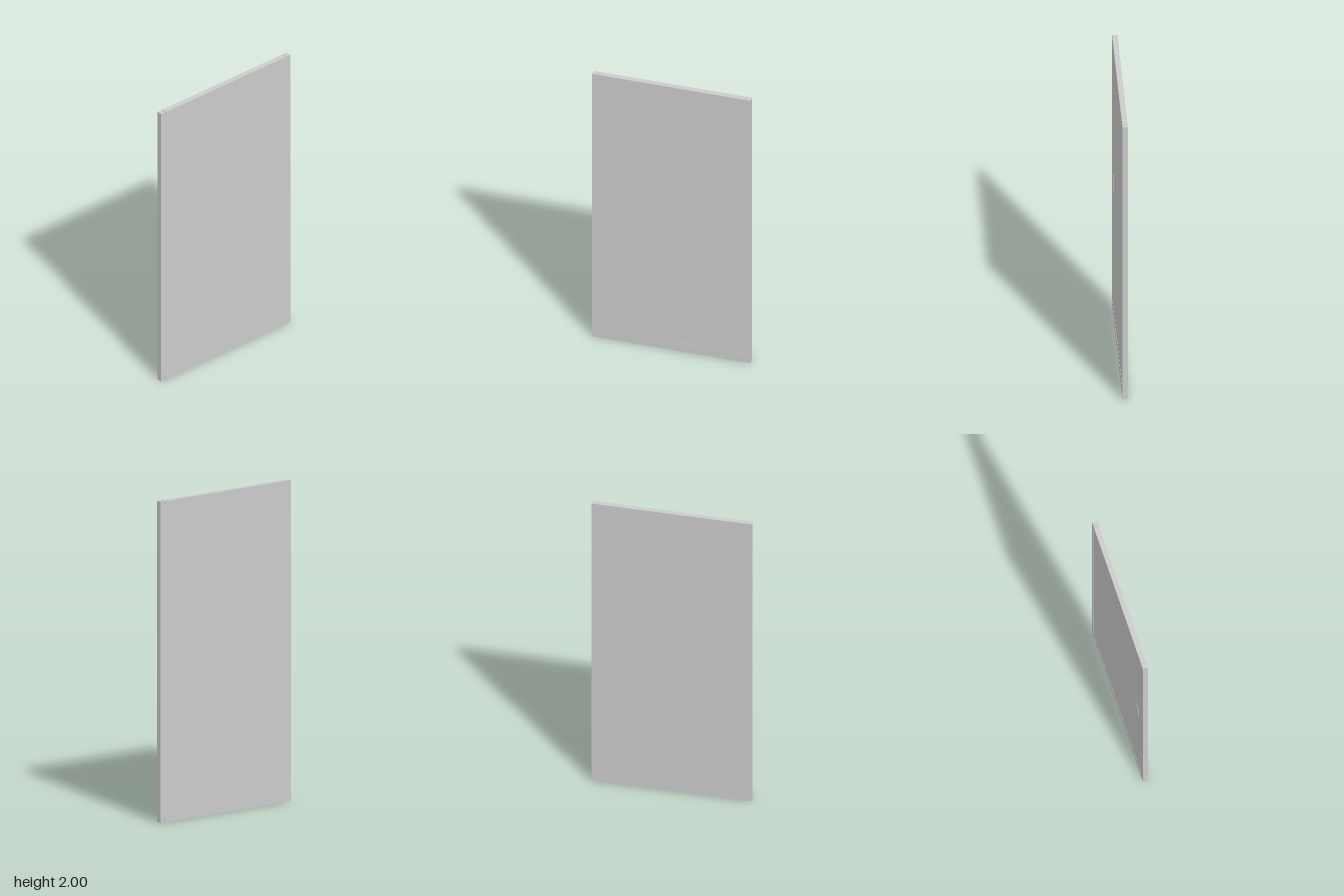
import * as THREE from 'three';

const material = new THREE.MeshStandardMaterial({ color: 0xcccccc });

// Box given by its centre x, bottom and top heights, width, depth and centre z
function addBox(group, name, x, y0, y1, width, depth, z = 0) {
  const mesh = new THREE.Mesh(new THREE.BoxGeometry(width, y1 - y0, depth), material);
  mesh.name = name;
  mesh.position.set(x, (y0 + y1) / 2, z);
  group.add(mesh);
}

export function createModel() {
  const group = new THREE.Group();
  group.name = 'slidingDoor';
  const depth = 0.033;
  const panelDepth = 0.03;

  // Thin panel, set slightly back from the frame
  addBox(group, 'panel', 0, 0.03, 1.98, 0.938, panelDepth);

  // Upright profiles at both sides
  addBox(group, 'leftStile', 0.484, 0, 2, 0.032, depth);
  addBox(group, 'rightStile', -0.484, 0, 2, 0.032, depth);

  // Rails, with a narrow joint against the uprights
  addBox(group, 'topRail', 0, 1.96, 2, 0.93, depth);
  addBox(group, 'bottomRail', 0, 0, 0.065, 0.93, depth);

  // Flat pull plates on both faces
  for (const side of [1, -1]) {
    const name = side > 0 ? 'frontPullPlate' : 'backPullPlate';
    addBox(group, name, -0.388, 0.945, 1.03, 0.055, 0.003, side * 0.0155);
  }

  return group;
}
